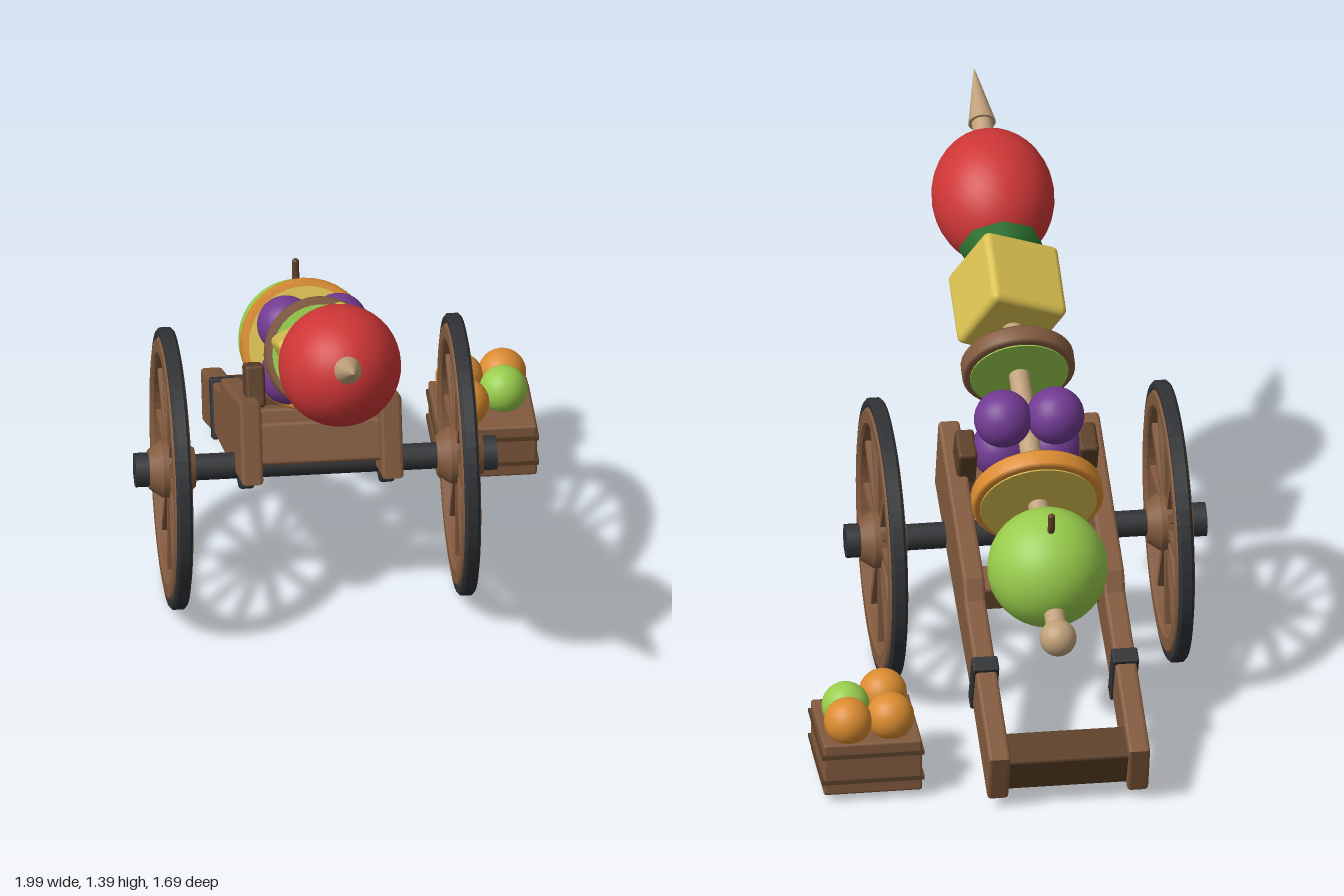
import * as THREE from 'three';
import { RoundedBoxGeometry } from 'three/addons/geometries/RoundedBoxGeometry.js';

const mat = (name, color) => {
  const m = new THREE.MeshStandardMaterial({ color });
  m.name = name;
  return m;
};

export function createModel() {
  const wood = mat('wood', 0x825a3e);
  const darkWood = mat('dark wood', 0x5c3f28);
  const iron = mat('iron', 0x303235);
  const red = mat('red', 0xcf3636);
  const yellow = mat('yellow', 0xd9bf50);
  const lime = mat('lime', 0x98cc4c);
  const orange = mat('orange', 0xdb8c30);
  const purple = mat('purple', 0x713a92);
  const stick = mat('skewer wood', 0xbfa07a);
  const leaf = mat('leaf green', 0x2f7a34);

  const model = new THREE.Group();
  const group = (parent, name, x = 0, y = 0, z = 0) => {
    const g = new THREE.Group();
    g.name = name;
    g.position.set(x, y, z);
    parent.add(g);
    return g;
  };
  const add = (parent, name, geo, material, x = 0, y = 0, z = 0) => {
    const m = new THREE.Mesh(geo, material);
    m.name = name;
    m.position.set(x, y, z);
    parent.add(m);
    return m;
  };
  const ball = (r) => new THREE.SphereGeometry(r, 32, 20);
  const block = (w, h, d, r = 0.012) => new RoundedBoxGeometry(w, h, d, 2, r);
  // Cylinders lying along z (front radius first) or along x
  const rodZ = (rFront, rBack, len, n = 20) =>
    new THREE.CylinderGeometry(rFront, rBack, len, n).rotateX(Math.PI / 2);
  const rodX = (rPlus, rMinus, len, n = 20) =>
    new THREE.CylinderGeometry(rPlus, rMinus, len, n).rotateZ(-Math.PI / 2);

  // Everything on the cart: local +z is the firing direction
  const HEADING = -0.81;
  const cart = group(model, 'cart', -0.15, 0, 0.03);
  cart.rotation.y = HEADING;

  // Wheels
  const ringX = (rOut, rIn, width) => {
    const s = new THREE.Shape().absarc(0, 0, rOut, 0, Math.PI * 2);
    s.holes.push(new THREE.Path().absarc(0, 0, rIn, 0, Math.PI * 2, true));
    const b = 0.008;
    const g = new THREE.ExtrudeGeometry(s, {
      depth: width - 2 * b, curveSegments: 28,
      bevelThickness: b, bevelSize: b, bevelOffset: -b, bevelSegments: 1,
    });
    return g.translate(0, 0, b - width / 2).rotateY(Math.PI / 2);
  };
  for (const side of [-1, 1]) {
    const wheel = group(cart, side > 0 ? 'leftWheel' : 'rightWheel', side * 0.437, 0.43, 0);
    add(wheel, 'tyre', ringX(0.428, 0.395, 0.046), iron);
    add(wheel, 'rim', ringX(0.4, 0.345, 0.056), wood);
    for (let i = 0; i < 12; i++) {
      const a = (i * Math.PI) / 6;
      const spoke = add(wheel, 'spoke', new THREE.BoxGeometry(0.024, 0.3, 0.026), wood,
        0, Math.cos(a) * 0.21, Math.sin(a) * 0.21);
      spoke.rotation.x = a;
    }
    add(wheel, 'hub', rodX(0.088, 0.088, 0.06), wood);
    for (const s of [-1, 1]) {
      add(wheel, 'hubCollar', rodX(s > 0 ? 0.06 : 0.088, s > 0 ? 0.088 : 0.06, 0.04), wood, s * 0.05);
    }
    add(wheel, 'axleCap', rodX(0.054, 0.054, 0.06, 8), iron, side * 0.082);
  }
  add(cart, 'axle', rodX(0.04, 0.04, 0.92, 12), iron, 0, 0.43, 0);

  // Stepped side cheeks running back into the trail
  const cheekShape = new THREE.Shape([
    [0.235, 0.49], [0.155, 0.735], [-0.42, 0.495], [-0.45, 0.435], [-1.025, 0.19],
    [-0.975, 0.035], [-0.6, 0.2], [-0.3, 0.3],
  ].map(([z, y]) => new THREE.Vector2(z, y)));
  for (const side of [-1, 1]) {
    const cheek = new THREE.ExtrudeGeometry(cheekShape, {
      depth: 0.046, bevelThickness: 0.01, bevelSize: 0.01, bevelOffset: -0.01, bevelSegments: 2,
    }).translate(0, 0, -0.023).rotateY(-Math.PI / 2);
    add(cart, 'cheek', cheek, wood, side * 0.213, 0, 0);
    add(cart, 'trailBand', block(0.08, 0.185, 0.055, 0.006), iron, side * 0.213, 0.262, -0.65).rotation.x = -0.41;
    add(cart, 'saddleBlock', block(0.06, 0.13, 0.11), darkWood, side * 0.185, 0.7, -0.01).rotation.x = -0.41;
    add(cart, 'axleBracket', block(0.05, 0.12, 0.1), iron, side * 0.213, 0.43, 0);
  }
  // Cross pieces between the cheeks
  for (const [name, y, z, h, d] of [
    ['frontTransom', 0.56, 0.1, 0.13, 0.1],
    ['middleTransom', 0.4, -0.3, 0.1, 0.1],
    ['tailTransom', 0.135, -0.93, 0.13, 0.12],
  ]) {
    add(cart, name, block(0.39, h, d), name === 'tailTransom' ? darkWood : wood, 0, y, z).rotation.x = -0.41;
  }

  // Skewer barrel: local +z runs up along the stick
  const barrel = group(cart, 'barrel', 0, 0.8175, 0);
  barrel.rotation.x = -0.456;
  add(barrel, 'skewer', rodZ(0.032, 0.032, 1.93), stick, 0, 0, 0.145);
  add(barrel, 'skewerTip', rodZ(0.002, 0.042, 0.2), stick, 0, 0, 1.205);
  add(barrel, 'skewerKnob', ball(0.056), stick, 0, 0, -0.835);

  // Red fruit with leafy collar
  add(barrel, 'redFruit', ball(1), red, 0, 0, 0.828).scale.set(0.186, 0.186, 0.22);
  add(barrel, 'leafCollar', rodZ(0.128, 0.09, 0.05, 8), leaf, 0, 0, 0.615);

  // Yellow cube
  add(barrel, 'yellowCube', block(0.256, 0.256, 0.256, 0.022), yellow, 0, 0, 0.457).rotation.z = 0.436;

  // Round slices with coloured faces
  const slice = (name, r, t, rind, flesh) => {
    const g = group(barrel, name, 0, 0, t);
    const h = 0.032, b = 0.01;
    const pts = [[0, -h], [r - b, -h], [r, -h + b], [r, h - b], [r - b, h], [0, h]];
    const body = new THREE.LatheGeometry(pts.map(([x, y]) => new THREE.Vector2(x, y)), 36);
    add(g, 'rind', body.toNonIndexed().rotateX(Math.PI / 2), rind);
    for (const s of [-1, 1]) {
      add(g, 'flesh', rodZ(r - 0.022, r - 0.022, 0.006, 36), flesh, 0, 0, s * (h + 0.001));
    }
  };
  slice('greenSlice', 0.172, 0.19, wood, lime);
  slice('orangeSlice', 0.2, -0.3, orange, yellow);

  // Grapes around the stick
  for (const x of [-0.08, 0.08]) {
    for (const y of [-0.077, 0.077]) add(barrel, 'grape', ball(0.088), purple, x, y, -0.06);
  }

  // Green apple with a bent stem
  const apple = group(barrel, 'apple', 0, 0, -0.568);
  add(apple, 'appleBody', ball(0.183), lime);
  const stemPath = new THREE.CatmullRomCurve3([
    new THREE.Vector3(0, 0.16, 0), new THREE.Vector3(0, 0.2, 0.002), new THREE.Vector3(0, 0.235, 0.014),
  ]);
  add(apple, 'appleStem', new THREE.TubeGeometry(stemPath, 6, 0.011, 8), darkWood);
  add(apple, 'appleStemEnd', ball(0.011), darkWood, 0, 0.235, 0.014);

  // Fruit crate beside the trail
  const crate = group(model, 'crate', 0.77, 0, -0.045);
  crate.rotation.y = HEADING;
  add(crate, 'crateBody', block(0.3, 0.17, 0.312, 0.008), wood, 0, 0.11, 0);
  for (const y of [0.07, 0.155]) {
    add(crate, 'crateStrip', new THREE.BoxGeometry(0.312, 0.014, 0.322), darkWood, 0, y, 0);
  }
  for (const [x, z, m] of [
    [0.672, -0.035, orange], [0.785, -0.145, orange], [0.888, -0.062, orange], [0.808, 0.005, lime],
  ]) {
    add(model, 'crateFruit', ball(0.073), m, x, 0.245, z);
  }
  return model;
}
